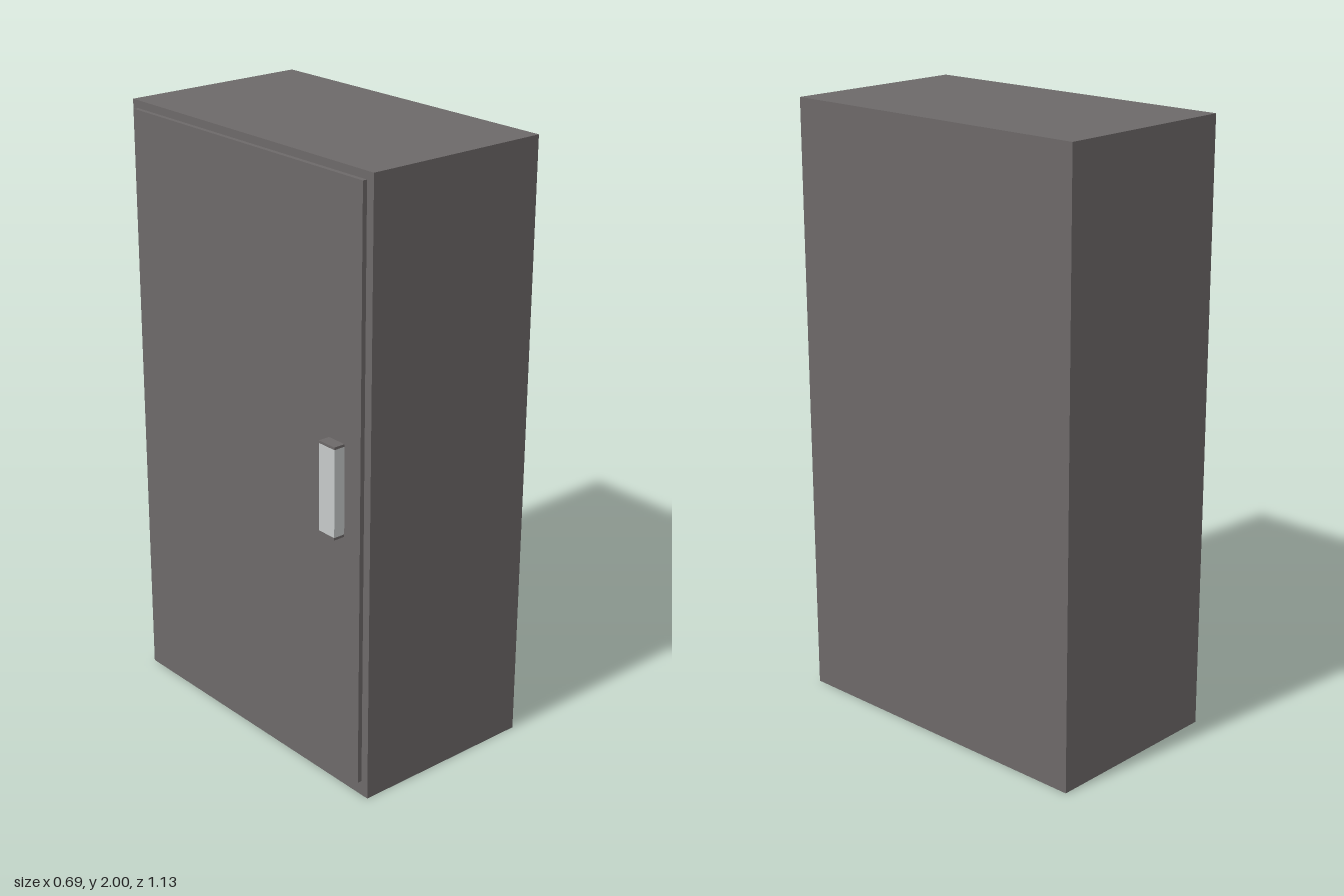
import * as THREE from 'three';

export function createModel() {
  const group = new THREE.Group();
  const material = (name, color) => {
    const m = new THREE.MeshStandardMaterial({ color });
    m.name = name;
    return m;
  };
  const casing = material('dark grey casing', 0x6d6969);
  const metal = material('light grey metal', 0xc6caca);

  // Adds a box spanning the given minimum and maximum corners
  function box(name, mat, [x0, y0, z0], [x1, y1, z1], parent = group) {
    const mesh = new THREE.Mesh(new THREE.BoxGeometry(x1 - x0, y1 - y0, z1 - z0), mat);
    mesh.position.set((x0 + x1) / 2, (y0 + y1) / 2, (z0 + z1) / 2);
    mesh.name = name;
    parent.add(mesh);
  }

  // Cabinet body and the raised door on its right-hand side
  box('cabinetBody', casing, [-0.295, 0, -0.563], [0.346, 2, 0.563]);
  box('door', casing, [-0.31, 0.05, -0.538], [-0.295, 1.975, 0.535]);

  // Pull handle: a channel open towards the back, closed by end caps
  const handle = new THREE.Group();
  handle.name = 'handle';
  group.add(handle);
  const yBottom = 0.873, yTop = 1.172, cap = 0.008;
  box('handleFrontPlate', metal, [-0.349, yBottom + cap, 0.455], [-0.31, yTop - cap, 0.465], handle);
  box('handleGrip', metal, [-0.349, yBottom + cap, 0.395], [-0.339, yTop - cap, 0.455], handle);
  box('handleBottomCap', casing, [-0.349, yBottom, 0.395], [-0.31, yBottom + cap, 0.465], handle);
  box('handleTopCap', casing, [-0.349, yTop - cap, 0.395], [-0.31, yTop, 0.465], handle);

  return group;
}
